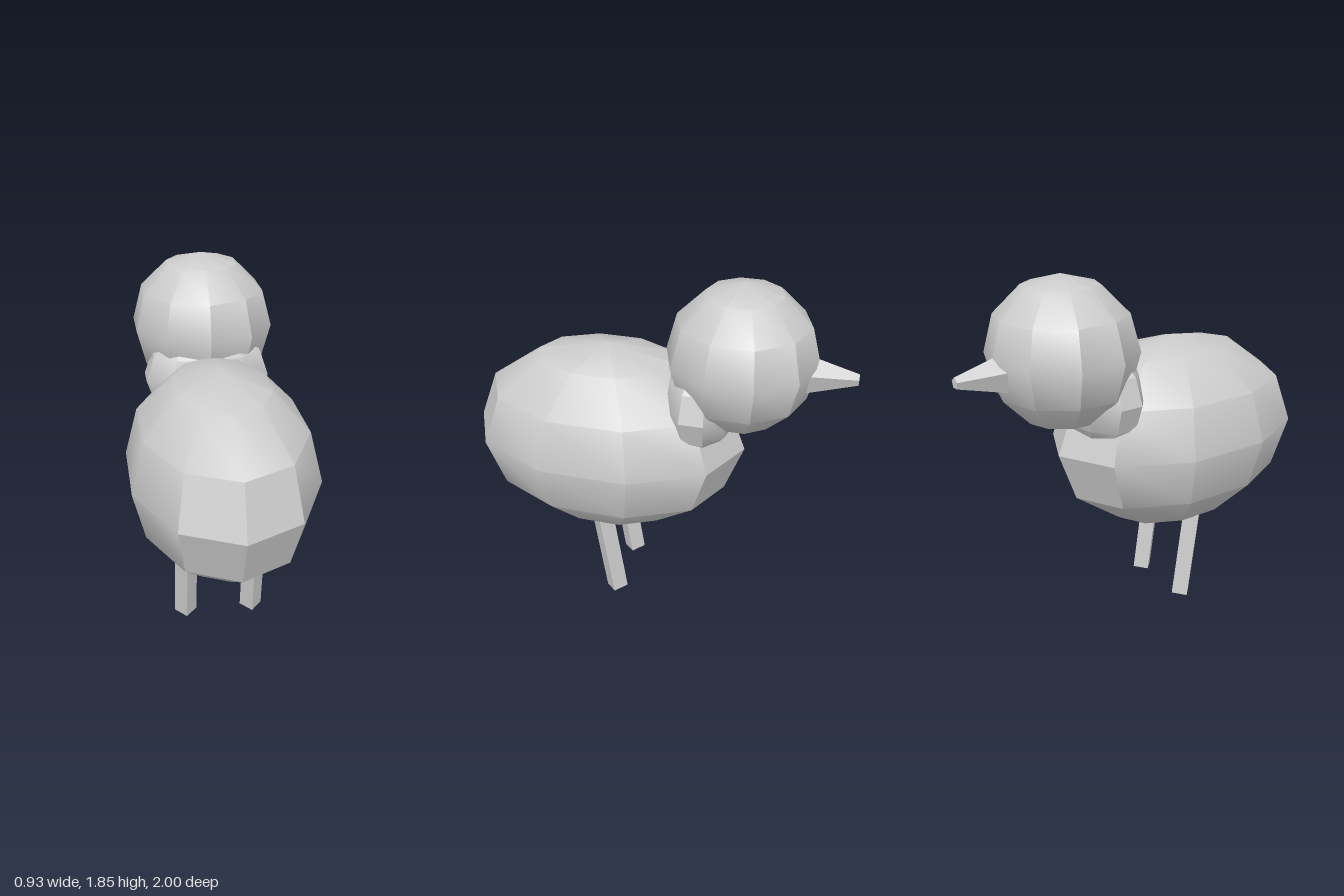
import * as THREE from 'three';
import { toCreasedNormals } from 'three/addons/utils/BufferGeometryUtils.js';

const clay = new THREE.MeshStandardMaterial({ color: 0xcccccc });
clay.name = 'light grey';

function addPart(group, name, geometry, crease) {
  const mesh = new THREE.Mesh(toCreasedNormals(geometry, crease), clay);
  mesh.name = name;
  group.add(mesh);
}

// Ten-sided ellipsoid with poles up and a corner on the z axis
function ellipsoid(radii, centre) {
  return new THREE.SphereGeometry(1, 10, 6)
    .rotateY(Math.PI / 2)
    .scale(...radii)
    .translate(...centre);
}

// Tapered prism running from point a to point b
function prism(a, b, radiusA, radiusB, sides) {
  const from = new THREE.Vector3(...a);
  const axis = new THREE.Vector3(...b).sub(from);
  const length = axis.length();
  const turn = new THREE.Quaternion().setFromUnitVectors(
    new THREE.Vector3(0, 1, 0), axis.normalize());
  return new THREE.CylinderGeometry(radiusB, radiusA, length, sides)
    .translate(0, length / 2, 0)
    .applyQuaternion(turn)
    .translate(...a);
}

export function createModel() {
  const bird = new THREE.Group();
  bird.name = 'bird';
  const soft = 0.55;

  // Rounded masses
  addPart(bird, 'body', ellipsoid([0.49, 0.52, 0.735], [0, 0.935, 0.265]), soft);
  addPart(bird, 'head', ellipsoid([0.382, 0.382, 0.382], [0, 1.472, -0.43]), soft);
  addPart(bird, 'neck', ellipsoid([0.345, 0.27, 0.2], [0, 1.235, -0.25]), soft);

  // Five-sided blunt beak with a ridge on top
  const beak = new THREE.CylinderGeometry(0.029, 0.113, 0.3, 5)
    .rotateX(-Math.PI / 2)
    .translate(0, 1.42, -0.85);
  // Turn the ridge upward about the beak's own axis
  beak.translate(0, -1.42, 0);
  beak.computeBoundingBox();
  if (beak.boundingBox.max.y < -beak.boundingBox.min.y) beak.rotateZ(Math.PI);
  beak.translate(0, 1.42, 0);
  addPart(bird, 'beak', beak, 0.2);

  // Slanted four-sided legs
  for (const [side, name] of [[1, 'leftLeg'], [-1, 'rightLeg']]) {
    const x = side * 0.183;
    addPart(bird, name, prism([x, 0.009, 0.187], [x, 0.62, 0.277], 0.06, 0.06, 4), 0.2);
  }
  return bird;
}
